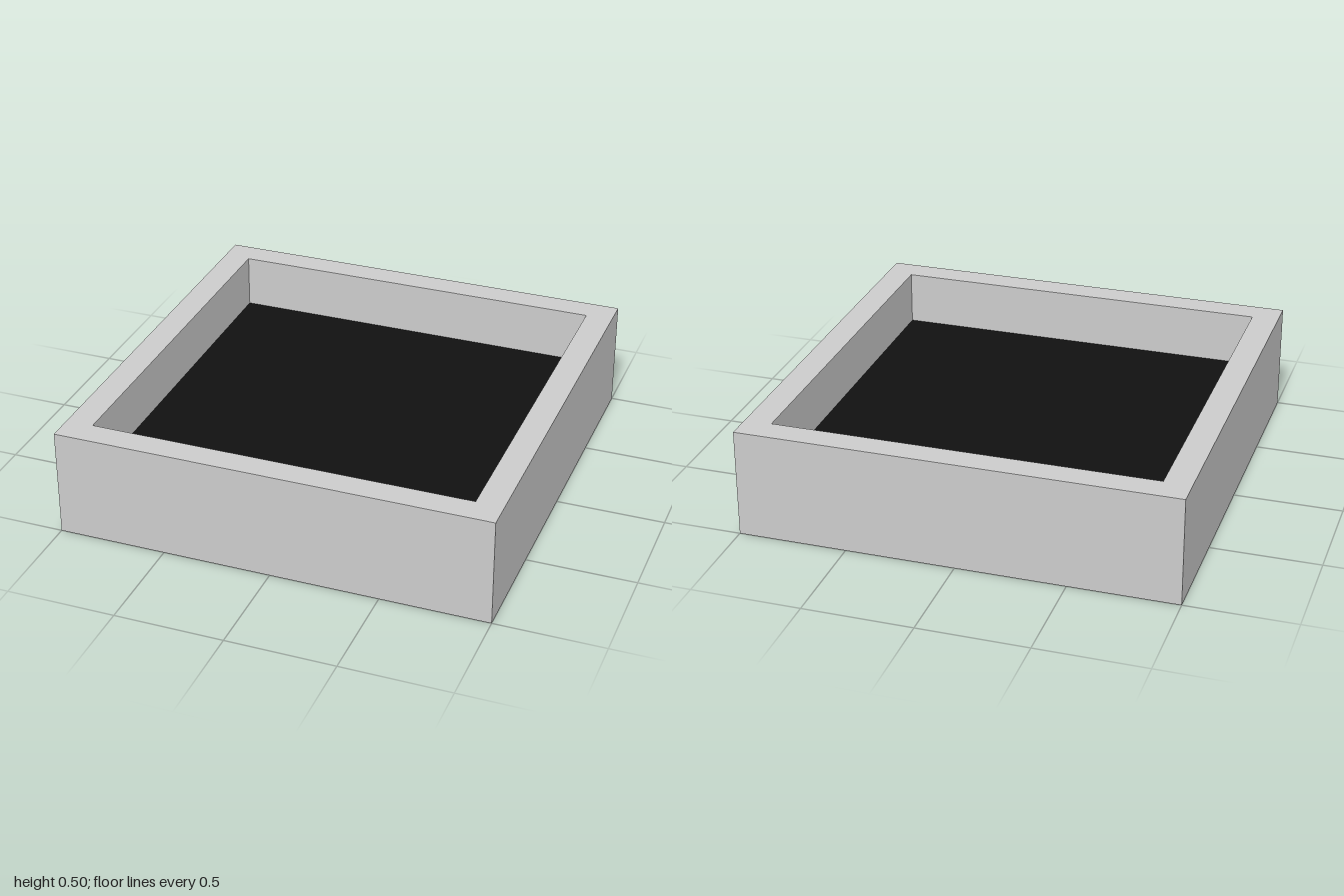
import * as THREE from 'three';

const HALF = 1;          // outer half width
const INNER = 0.875;     // half width of the recess
const HEIGHT = 0.5;
const FLOOR = 0.25;      // level of the dark floor

export function createModel() {
  const group = new THREE.Group();
  group.name = 'tray';

  // Square shell: underside, outer walls, rim and inner walls as a four-sided lathe
  const profile = [[0, 0], [HALF, 0], [HALF, HEIGHT], [INNER, HEIGHT], [INNER, FLOOR]]
    .map(([half, y]) => new THREE.Vector2(half * Math.SQRT2, y));
  const shellGeometry = new THREE.LatheGeometry(profile, 4, Math.PI / 4).toNonIndexed();
  shellGeometry.computeVertexNormals();
  const shell = new THREE.Mesh(
    shellGeometry,
    new THREE.MeshStandardMaterial({ color: 0xcccccc, flatShading: true })
  );
  shell.name = 'shell';
  group.add(shell);

  // Dark floor of the recess
  const floor = new THREE.Mesh(
    new THREE.PlaneGeometry(2 * INNER, 2 * INNER).rotateX(-Math.PI / 2),
    new THREE.MeshStandardMaterial({ color: 0x111111 })
  );
  floor.name = 'floor';
  floor.position.y = FLOOR;
  group.add(floor);

  return group;
}
